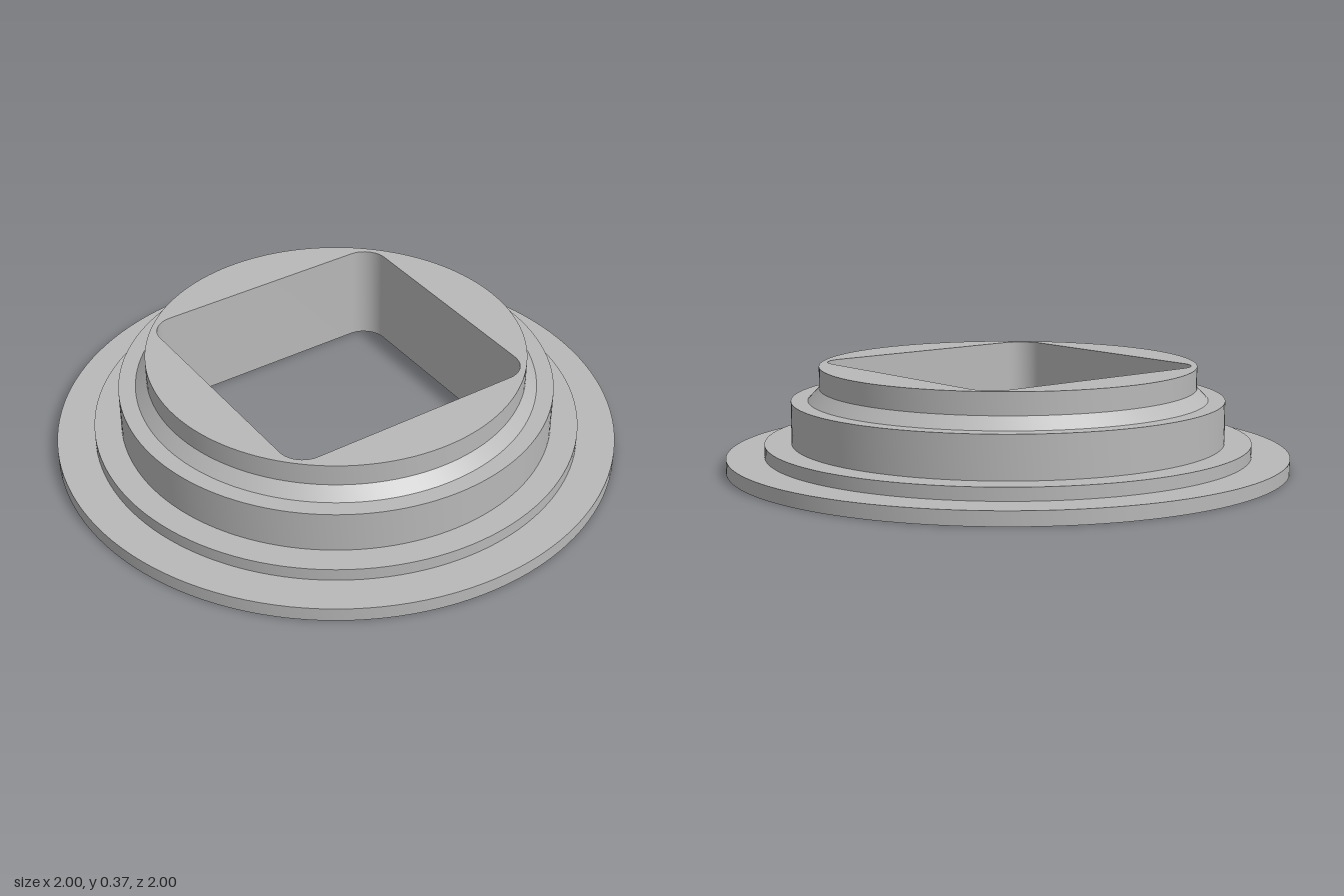
import * as THREE from 'three';
import { toCreasedNormals } from 'three/addons/utils/BufferGeometryUtils.js';

const HEIGHT = 0.365, NECK = 0.67, HALF = 0.485, CORNER = 0.09;

// Rounded square opening, listed counterclockwise
function openingPoints() {
  const c = HALF - CORNER, pts = [], steps = 10;
  [[c, c], [-c, c], [-c, -c], [c, -c]].forEach(([x, y], i) => {
    for (let s = 0; s <= steps; s++) {
      const a = (i + s / steps) * Math.PI / 2;
      pts.push(new THREE.Vector2(x + CORNER * Math.cos(a), y + CORNER * Math.sin(a)));
    }
  });
  return pts;
}

// Disc pierced by the square opening
function piercedDisc(points) {
  const shape = new THREE.Shape().absarc(0, 0, NECK, 0, Math.PI * 2);
  shape.holes.push(new THREE.Path(points));
  return new THREE.ShapeGeometry(shape, 64);
}

// Inward-facing walls of the opening
function openingWall(points) {
  const pos = [];
  points.forEach((p, i) => {
    const q = points[(i + 1) % points.length];
    const p0 = [p.x, 0, -p.y], p1 = [p.x, HEIGHT, -p.y];
    const q0 = [q.x, 0, -q.y], q1 = [q.x, HEIGHT, -q.y];
    pos.push(...p0, ...p1, ...q1, ...p0, ...q1, ...q0);
  });
  const geo = new THREE.BufferGeometry();
  geo.setAttribute('position', new THREE.Float32BufferAttribute(pos, 3));
  return toCreasedNormals(geo, 0.5);
}

export function createModel() {
  const group = new THREE.Group();
  group.name = 'steppedFlange';
  const grey = new THREE.MeshStandardMaterial({ color: 0xb8b8b8 });
  grey.name = 'grey';
  const add = (name, geo) => {
    const mesh = new THREE.Mesh(geo, grey);
    mesh.name = name;
    group.add(mesh);
    return mesh;
  };

  // Stepped body: underside with ring groove, flange, steps, chamfer, neck
  const profile = [
    [NECK, 0], [0.795, 0], [0.795, 0.04], [0.818, 0.04], [0.818, 0],
    [1, 0], [1, 0.05], [0.865, 0.05], [0.865, 0.095], [0.77, 0.095],
    [0.77, 0.245], [0.71, 0.245], [NECK, 0.287], [NECK, HEIGHT],
  ].map(([r, y]) => new THREE.Vector2(r, y));
  add('steppedBody', toCreasedNormals(new THREE.LatheGeometry(profile, 128), 0.5));

  // Top and bottom faces around the opening
  const points = openingPoints();
  const top = add('topFace', piercedDisc(points).rotateX(-Math.PI / 2));
  top.position.y = HEIGHT;
  add('bottomFace', piercedDisc(points).rotateX(Math.PI / 2));

  add('squareOpening', openingWall(points));
  return group;
}
